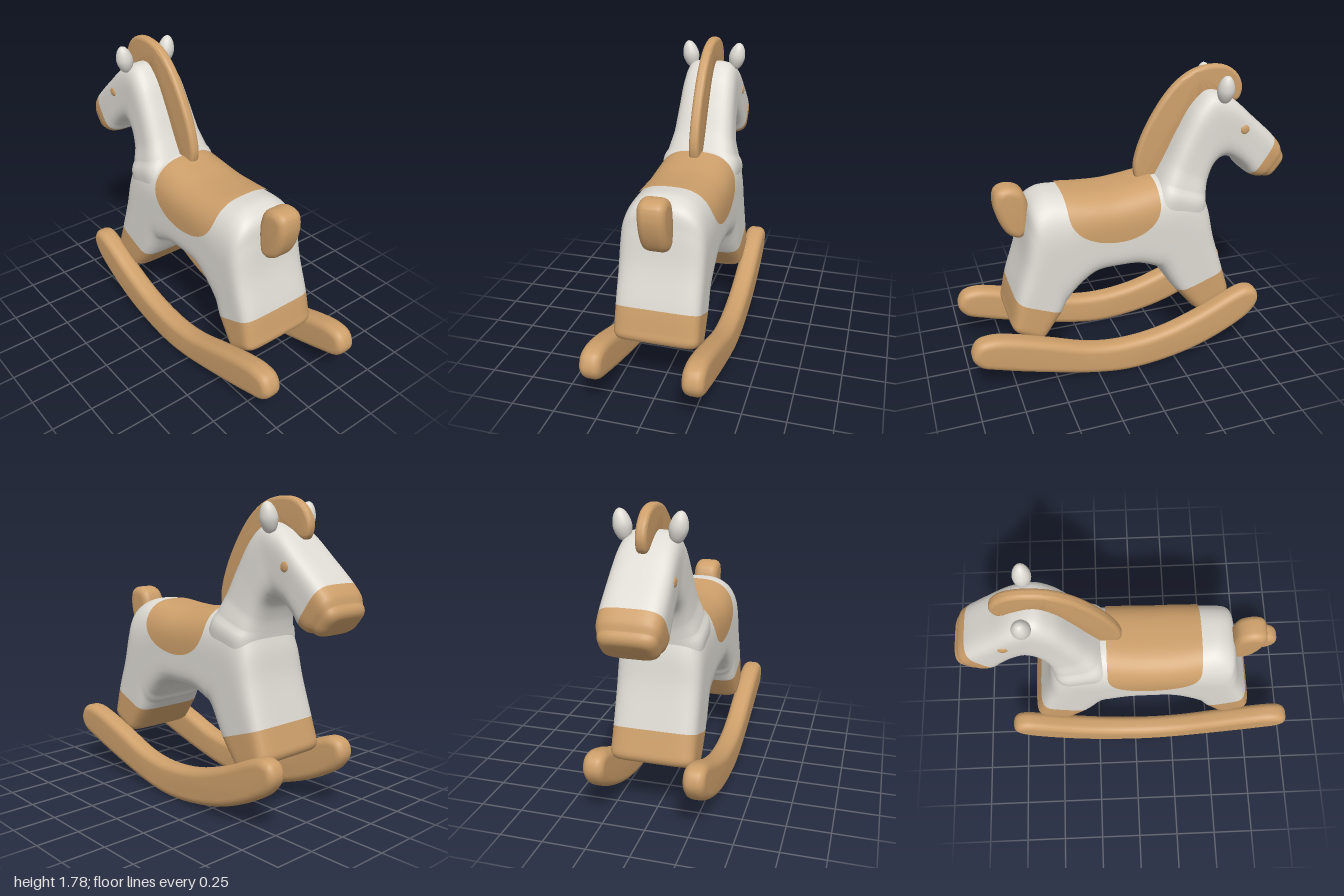
import * as THREE from 'three';
import { toCreasedNormals } from 'three/addons/utils/BufferGeometryUtils.js';

const cream = new THREE.MeshStandardMaterial({ color: 0xdedbd4 });
cream.name = 'cream';
const tan = new THREE.MeshStandardMaterial({ color: 0xcd9f6a });
tan.name = 'tan';

// Cross-sections as [outerX, outerY, innerX, innerY, halfWidth, squareness]
function makeSections(keys, innerSquareness) {
  const curve = (f) => new THREE.CatmullRomCurve3(keys.map(f));
  const outer = curve((k) => new THREE.Vector3(k[0], k[1], 0));
  const inner = curve((k) => new THREE.Vector3(k[2], k[3], 0));
  const form = curve((k) => new THREE.Vector3(k[4], k[5], 0));
  const last = keys.length - 1;
  // Point at section s, angle a; grow swells the section, shift moves it along the path
  function point(s, a, grow = 0, shift = 0) {
    const o = outer.getPoint(s / last), i = inner.getPoint(s / last), f = form.getPoint(s / last);
    const u = o.clone().sub(i);
    const h = u.length() / 2 + grow;
    u.normalize();
    const c = Math.cos(a), z = Math.sin(a);
    const n = c >= 0 ? f.y : innerSquareness;
    const r = Math.pow(Math.abs(c) ** n + Math.abs(z) ** n, -1 / n);
    const p = o.add(i).multiplyScalar(0.5).addScaledVector(u, h * r * c);
    p.x += u.y * shift;
    p.y -= u.x * shift;
    p.z = (f.x + grow) * r * z;
    return p;
  }
  return { point, last };
}

// Skin a grid of point rows; rowMaterial(i) picks the material index of each strip
function skin(rows, rowMaterial = () => 0) {
  const geo = new THREE.BufferGeometry().setFromPoints(rows.flat());
  const m = rows[0].length, index = [];
  for (let i = 0; i < rows.length - 1; i++) {
    geo.addGroup(index.length, (m - 1) * 6, rowMaterial(i));
    for (let j = 0; j < m - 1; j++) {
      const a = i * m + j, b = a + 1, c = b + m, d = a + m;
      index.push(a, b, c, a, c, d);
    }
  }
  geo.setIndex(index);
  geo.computeVertexNormals();
  // Match normals along the closing seam
  const nor = geo.attributes.normal, p = geo.attributes.position;
  for (let i = 0; i < rows.length; i++) {
    const a = i * m, b = a + m - 1;
    const va = new THREE.Vector3().fromBufferAttribute(p, a);
    if (va.distanceTo(new THREE.Vector3().fromBufferAttribute(p, b)) > 1e-5) continue;
    const v = new THREE.Vector3().fromBufferAttribute(nor, a)
      .add(new THREE.Vector3().fromBufferAttribute(nor, b)).normalize();
    nor.setXYZ(a, v.x, v.y, v.z);
    nor.setXYZ(b, v.x, v.y, v.z);
  }
  return geo;
}

// Closed loft with rounded ends
function loft(sections, capRadius, isTan) {
  const { point, last } = sections;
  const stations = [], steps = 8, capSteps = 5;
  const cap = (s, sign) => {
    const list = [];
    for (let k = 1; k <= capSteps; k++) {
      const t = (k / capSteps) * Math.PI / 2;
      list.push([s, -capRadius * (1 - Math.cos(t)), sign * capRadius * Math.sin(t), 1]);
    }
    list.push([s, -capRadius, sign * capRadius, 0]);
    return list;
  };
  stations.push(...cap(0, -1).reverse());
  for (let k = 0; k <= last * steps; k++) stations.push([k / steps, 0, 0, 1]);
  stations.push(...cap(last, 1));
  const rows = stations.map(([s, grow, shift, open]) => {
    const ring = [];
    for (let j = 0; j <= 64; j++) ring.push(point(s, (j / 64) * Math.PI * 2, grow, shift));
    if (!open) {
      const mid = ring[0].clone().add(ring[32]).multiplyScalar(0.5);
      ring.forEach((p) => p.copy(mid));
    }
    return ring;
  });
  return skin(rows, (i) => (isTan((stations[i][0] + stations[i + 1][0]) / 2) ? 1 : 0));
}

// Smooth outline extruded along z with rounded edges
function plate(points, halfWidth, bevel) {
  const curve = new THREE.CatmullRomCurve3(points.map(([x, y]) => new THREE.Vector3(x, y, 0)), true);
  const shape = new THREE.Shape(curve.getPoints(96).slice(0, -1).map((p) => new THREE.Vector2(p.x, p.y)));
  const geo = new THREE.ExtrudeGeometry(shape, {
    depth: 2 * (halfWidth - bevel), bevelThickness: bevel, bevelSize: bevel,
    bevelOffset: -bevel, bevelSegments: 6, steps: 1,
  });
  geo.translate(0, 0, -(halfWidth - bevel));
  return toCreasedNormals(geo, 0.8);
}

export function createModel() {
  const group = new THREE.Group();
  const add = (name, geo, material, x = 0, y = 0, z = 0) => {
    const mesh = new THREE.Mesh(geo, material);
    mesh.name = name;
    mesh.position.set(x, y, z);
    group.add(mesh);
    return mesh;
  };

  // Body: one arch from front legs over the back to hind legs, with tan socks
  const body = makeSections([
    [-0.64, 0.41, -0.39, 0.30, 0.245, 6],
    [-0.60, 0.54, -0.285, 0.43, 0.245, 6],
    [-0.53, 0.78, -0.245, 0.49, 0.245, 5],
    [-0.49, 0.98, -0.215, 0.54, 0.245, 4],
    [-0.43, 1.12, -0.19, 0.58, 0.245, 3],
    [-0.30, 1.16, -0.175, 0.60, 0.245, 2.8],
    [-0.16, 1.155, -0.16, 0.61, 0.245, 2.8],
    [-0.03, 1.135, -0.05, 0.655, 0.245, 2.8],
    [0.10, 1.12, 0.08, 0.665, 0.245, 2.8],
    [0.25, 1.125, 0.23, 0.65, 0.245, 2.8],
    [0.39, 1.14, 0.36, 0.545, 0.245, 2.8],
    [0.50, 1.14, 0.39, 0.50, 0.245, 2.8],
    [0.575, 1.09, 0.405, 0.48, 0.245, 3.2],
    [0.605, 0.97, 0.415, 0.465, 0.245, 4],
    [0.64, 0.78, 0.425, 0.45, 0.245, 5],
    [0.71, 0.55, 0.435, 0.435, 0.245, 6],
    [0.74, 0.41, 0.53, 0.30, 0.245, 6],
  ], 6);
  add('bodyAndLegs', loft(body, 0.05, (s) => s < 1 || s > 15), [cream, tan]);

  // Neck and head with tan muzzle
  const head = makeSections([
    [-0.47, 0.88, -0.10, 0.98, 0.235, 5],
    [-0.485, 1.04, -0.19, 1.15, 0.215, 4],
    [-0.50, 1.12, -0.25, 1.26, 0.188, 4],
    [-0.535, 1.20, -0.33, 1.42, 0.175, 4],
    [-0.58, 1.235, -0.42, 1.57, 0.168, 4],
    [-0.63, 1.235, -0.51, 1.64, 0.163, 4],
    [-0.69, 1.20, -0.63, 1.605, 0.165, 4],
    [-0.74, 1.155, -0.79, 1.47, 0.17, 4],
    [-0.775, 1.11, -0.93, 1.34, 0.172, 4],
    [-0.82, 1.087, -0.975, 1.285, 0.168, 4],
    [-0.865, 1.085, -0.99, 1.24, 0.155, 4],
  ], 4);
  add('neckAndHead', loft(head, 0.05, (s) => s > 8), [cream, tan]);

  // Saddle: thin shell hugging the back, with a rounded lower edge
  const saddleRows = [];
  for (let i = 0; i <= 40; i++) {
    const t = -Math.cos((i / 40) * Math.PI);
    const s = 8 + 2 * t;
    const edge = 1.05 - 0.19 * Math.sqrt(Math.max(0, 1 - t * t));
    let lo = 0, hi = Math.PI / 2 + 0.4;
    for (let k = 0; k < 24; k++) {
      const mid = (lo + hi) / 2;
      if (body.point(s, mid).y > edge) lo = mid; else hi = mid;
    }
    const row = [];
    for (let j = 0; j <= 40; j++) row.push(body.point(s, lo * (j / 20 - 1), 0.007));
    saddleRows.push(row);
  }
  add('saddle', skin(saddleRows), [tan]);

  // Mane crest
  add('mane', plate([
    [-0.715, 1.555], [-0.745, 1.62], [-0.72, 1.70], [-0.65, 1.76], [-0.55, 1.78], [-0.42, 1.755],
    [-0.30, 1.67], [-0.17, 1.49], [-0.09, 1.31], [-0.07, 1.19], [-0.10, 1.11], [-0.20, 1.12],
    [-0.35, 1.38], [-0.48, 1.57], [-0.60, 1.58],
  ], 0.03, 0.022), tan);

  // Tail
  add('tail', plate([
    [0.68, 1.2], [0.75, 1.18], [0.77, 1.11], [0.75, 1.0], [0.70, 0.91], [0.64, 0.88],
    [0.59, 0.91], [0.575, 1.0], [0.58, 1.1], [0.61, 1.17],
  ], 0.078, 0.045), tan);

  const rocker = plate([
    [-0.80, 0.34], [-0.775, 0.41], [-0.71, 0.43], [-0.62, 0.405], [-0.40, 0.305], [-0.15, 0.225],
    [0.10, 0.2], [0.30, 0.225], [0.55, 0.31], [0.75, 0.375], [0.88, 0.4], [0.965, 0.38],
    [1.0, 0.3], [0.96, 0.23], [0.85, 0.185], [0.50, 0.08], [0.25, 0.02], [0.07, 0.0],
    [-0.15, 0.015], [-0.40, 0.07], [-0.65, 0.18], [-0.76, 0.26],
  ], 0.062, 0.045);

  // Leaf-shaped ear
  const ear = new THREE.LatheGeometry(new THREE.SplineCurve([
    [0, -0.09], [0.032, -0.07], [0.05, -0.015], [0.042, 0.035], [0.022, 0.07], [0, 0.082],
  ].map(([x, y]) => new THREE.Vector2(x, y))).getPoints(20), 24);
  const eye = new THREE.SphereGeometry(0.028, 24, 12).scale(1, 1, 0.35);

  for (const [side, z] of [['left', 1], ['right', -1]]) {
    const tag = (n) => side + n;
    add(tag('Rocker'), rocker, tan, 0, 0, 0.283 * z);
    add(tag('Ear'), ear, cream, -0.572, 1.67, 0.15 * z).rotation.x = 0.2 * z;
    add(tag('Eye'), eye, tan, -0.703, 1.42, 0.165 * z);
  }
  return group;
}
